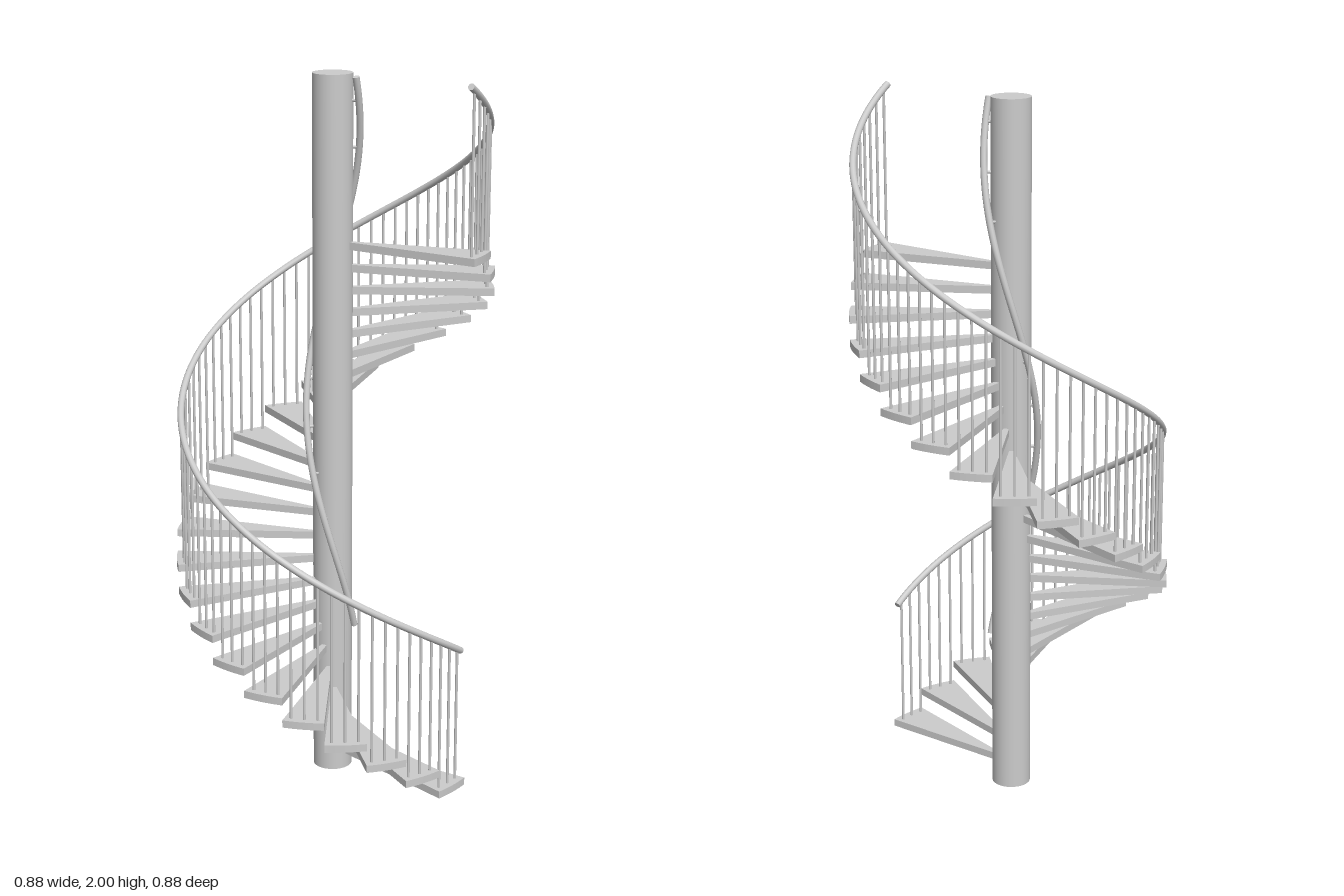
import * as THREE from 'three';

const STEPS = 24;
const STEP_ANGLE = Math.PI / 12;
const START = STEP_ANGLE;            // angle runs from +x towards +z
const RISE = 0.0645;
const RAIL_START = 0.445;
const COLUMN_R = 0.055, TREAD_R = 0.44, RAIL_R = 0.42, INNER_RAIL_R = 0.073, TUBE_R = 0.0095;

const material = new THREE.MeshStandardMaterial({ color: 0xcccccc });

// Helix point after t steps at radius r
const railY = (t) => RAIL_START + t * RISE;
function helixPoint(r, t) {
  const a = START + t * STEP_ANGLE;
  return new THREE.Vector3(r * Math.cos(a), railY(t), r * Math.sin(a));
}

class Helix extends THREE.Curve {
  constructor(radius) {
    super();
    this.radius = radius;
  }
  getPoint(u, target = new THREE.Vector3()) {
    return target.copy(helixPoint(this.radius, u * STEPS));
  }
}

function addMesh(parent, name, geometry) {
  const mesh = new THREE.Mesh(geometry, material);
  mesh.name = name;
  parent.add(mesh);
  return mesh;
}

// Helical tube closed by a disc at each end
function addRail(parent, name, radius) {
  const group = new THREE.Group();
  group.name = name;
  const curve = new Helix(radius);
  addMesh(group, name + 'Tube', new THREE.TubeGeometry(curve, 192, TUBE_R, 10, false));
  for (const [u, dir] of [[0, -1], [1, 1]]) {
    const cap = addMesh(group, name + 'Cap', new THREE.CircleGeometry(TUBE_R, 10));
    cap.position.copy(curve.getPoint(u));
    cap.lookAt(cap.position.clone().addScaledVector(curve.getTangent(u), dir));
  }
  parent.add(group);
}

// Wedge tread, top face at y = 0, spanning one step angle
function treadGeometry() {
  const shape = new THREE.Shape();
  const inner = 0.05;
  shape.moveTo(inner, 0);
  shape.lineTo(TREAD_R, 0);
  shape.absarc(0, 0, TREAD_R, 0, STEP_ANGLE, false);
  shape.lineTo(inner * Math.cos(STEP_ANGLE), inner * Math.sin(STEP_ANGLE));
  shape.closePath();
  const geometry = new THREE.ExtrudeGeometry(shape, { depth: 0.021, bevelEnabled: false, curveSegments: 4 });
  return geometry.rotateX(Math.PI / 2);
}

export function createModel() {
  const model = new THREE.Group();
  model.name = 'spiralStaircase';

  // Central column
  addMesh(model, 'column', new THREE.CylinderGeometry(COLUMN_R, COLUMN_R, 2, 40)).position.y = 1;

  // Treads, each with three balusters reaching the outer rail
  const treadGeo = treadGeometry();
  const treads = new THREE.Group();
  treads.name = 'treads';
  const balusters = new THREE.Group();
  balusters.name = 'balusters';
  for (let i = 0; i < STEPS; i++) {
    const top = (i + 1) * RISE;
    const tread = addMesh(treads, 'tread', treadGeo);
    tread.position.y = top;
    tread.rotation.y = -(START + i * STEP_ANGLE);
    for (let k = 0; k < 3; k++) {
      const p = helixPoint(RAIL_R, i + (k + 0.5) / 3);
      const height = p.y - top;
      const post = addMesh(balusters, 'baluster', new THREE.CylinderGeometry(0.004, 0.004, height, 8));
      post.position.set(p.x, top + height / 2, p.z);
    }
  }
  model.add(treads, balusters);

  // Outer and inner handrails
  addRail(model, 'outerHandrail', RAIL_R);
  addRail(model, 'innerHandrail', INNER_RAIL_R);

  // Short brackets joining the inner rail to the column
  const bracketGeo = new THREE.CylinderGeometry(0.004, 0.004, 0.024, 8).rotateZ(Math.PI / 2);
  for (let i = 0; i < STEPS; i += 2) {
    const bracket = addMesh(model, 'innerRailBracket', bracketGeo);
    bracket.position.copy(helixPoint(0.062, i + 1));
    bracket.rotation.y = -(START + (i + 1) * STEP_ANGLE);
  }

  return model;
}
